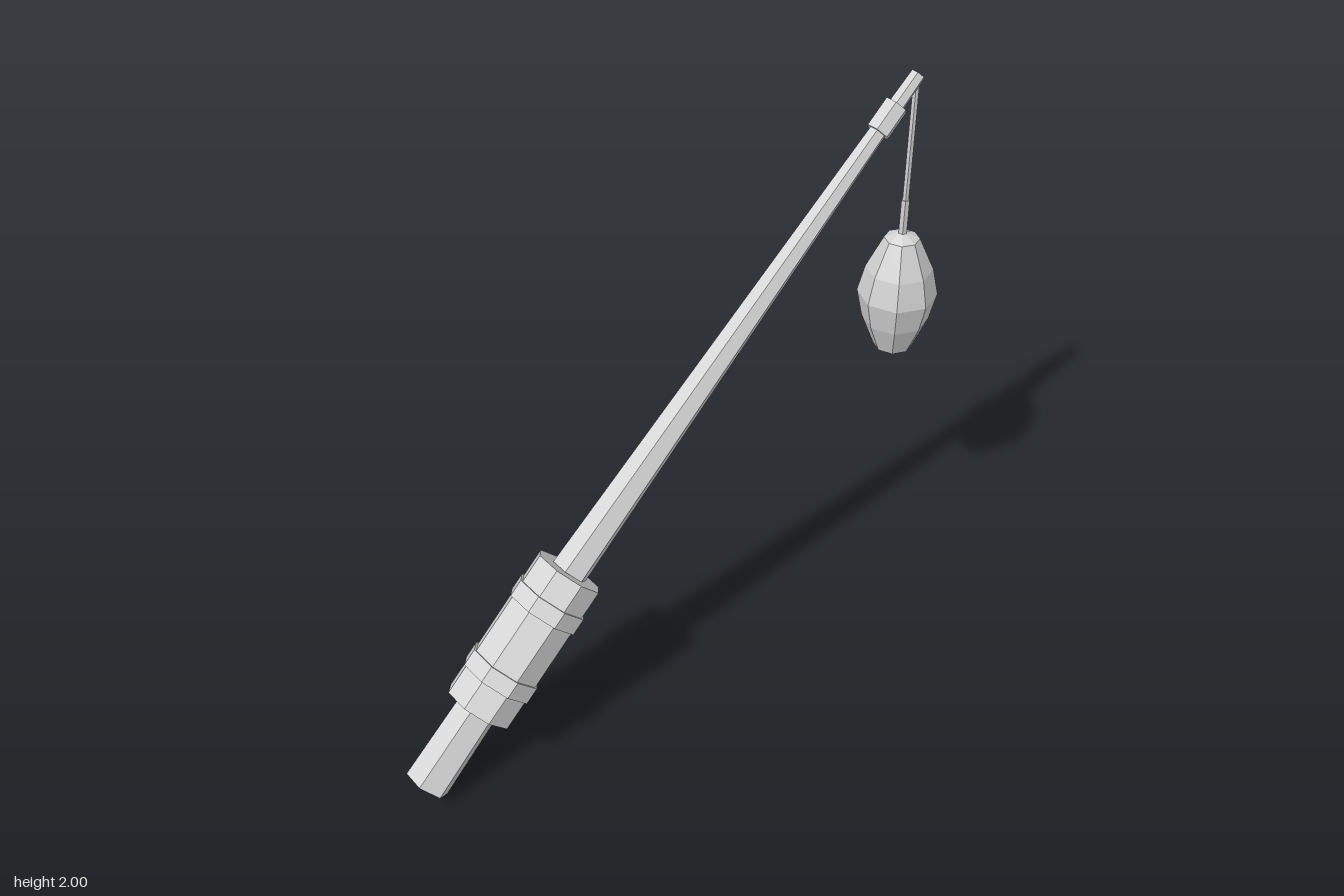
import * as THREE from 'three';

export function createModel() {
  const model = new THREE.Group();
  const grey = new THREE.MeshStandardMaterial({ color: 0xd2d2d2, flatShading: true });
  grey.name = 'light grey';

  const add = (parent, name, geometry, x, y, z) => {
    const mesh = new THREE.Mesh(geometry, grey);
    mesh.name = name;
    mesh.position.set(x, y, z);
    parent.add(mesh);
  };

  // A leaning group: local y runs from start to end, local x stays level
  const leaning = (name, start, end) => {
    const group = new THREE.Group();
    group.name = name;
    const along = end.clone().sub(start).normalize();
    const level = new THREE.Vector3(1, 0, 1).normalize();
    const across = level.clone().cross(along);
    group.position.copy(start);
    group.setRotationFromMatrix(new THREE.Matrix4().makeBasis(level, along, across));
    model.add(group);
    return group;
  };

  // A prism on a group's axis between two distances from its start
  const section = (group, name, r0, r1, from, to, sides) =>
    add(group, name,
      new THREE.CylinderGeometry(r1, r0, to - from, sides, 1, false, sides === 6 ? Math.PI / 2 : Math.PI / 8),
      0, (from + to) / 2, 0);

  const butt = new THREE.Vector3(-0.767, 0.05, 0.767);
  const joint = new THREE.Vector3(-0.335, 0.65, 0.335);
  const tip = new THREE.Vector3(0.688, 1.98, -0.688);
  const gripLength = butt.distanceTo(joint);
  const poleLength = joint.distanceTo(tip);

  // Handle with its octagonal collar and two raised rings
  const grip = leaning('grip', butt, joint);
  section(grip, 'handle', 0.08, 0.066, 0, gripLength, 6);
  section(grip, 'gripCollar', 0.123, 0.123, 0.313, gripLength, 8);
  section(grip, 'lowerGripRing', 0.131, 0.131, 0.42, 0.48, 8);
  section(grip, 'upperGripRing', 0.131, 0.131, 0.695, 0.755, 8);

  // Tapering pole with a sleeve near the tip
  const rod = leaning('rod', joint, tip);
  section(rod, 'pole', 0.066, 0.026, 0, poleLength, 6);
  section(rod, 'tipSleeve', 0.043, 0.043, poleLength - 0.225, poleLength - 0.12, 6);

  // Hanging line with its thicker fitting
  const hx = 0.685, hz = -0.688;
  add(model, 'line', new THREE.CylinderGeometry(0.012, 0.012, 0.6, 6), hx, 1.68, hz);
  add(model, 'lineFitting', new THREE.CylinderGeometry(0.016, 0.016, 0.14, 6), hx, 1.45, hz);

  // Faceted weight, profile from bottom to top
  const profile = [
    [0, 0.895], [0.07, 0.93], [0.118, 1.045], [0.141, 1.15],
    [0.118, 1.25], [0.062, 1.37], [0, 1.398],
  ].map(([r, y]) => new THREE.Vector2(r, y));
  add(model, 'hangingWeight', new THREE.LatheGeometry(profile, 8), hx, 0, hz);

  return model;
}
